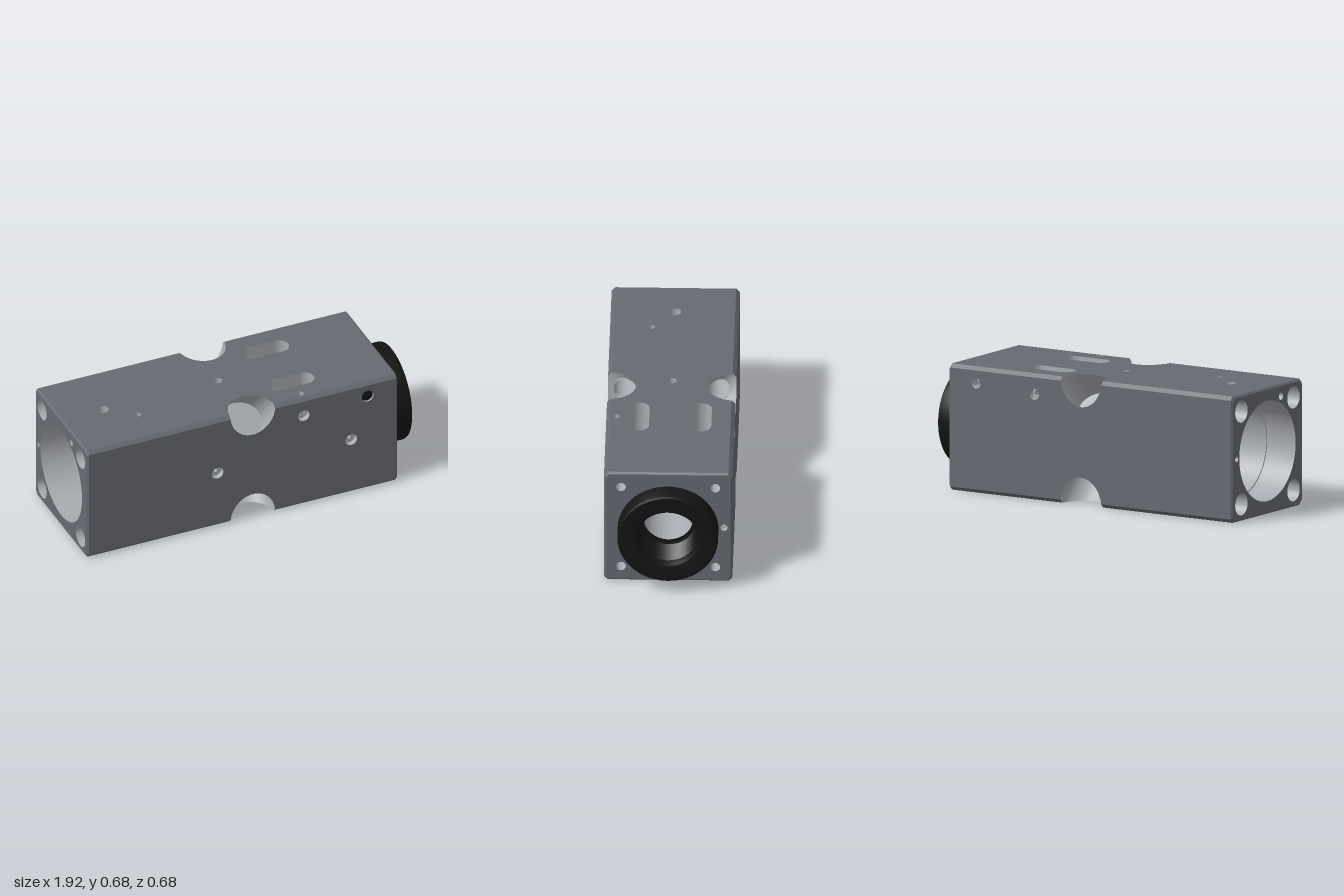
import * as THREE from 'three';
import { toCreasedNormals } from 'three/addons/utils/BufferGeometryUtils.js';

const H = 0.34, C = 0.02, E = 0.01;            // half width, long chamfer, end bevel
const X0 = -0.92, X1 = 0.88;                   // block ends
const NX = 0.04, NA = 0.13, NB = 0.106, ND = 0.264; // corner pocket: centre, radii, depth
const HOLE_R = 0.06, HOLE_W = 0.128;           // bolt channel where it meets the pocket

const mat = (color) => new THREE.MeshStandardMaterial({
  color, roughness: 0.6, metalness: 0, side: THREE.DoubleSide,
});

export function createModel() {
  const bodyMat = mat(0x676a72), boreMat = mat(0xa9acb2), blackMat = mat(0x141414);
  const model = new THREE.Group();
  model.name = 'cameraHousing';
  model.position.y = 0;
  const body = new THREE.Group();
  body.name = 'body';
  body.position.y = 0.395;
  model.add(body);

  const add = (parent, name, geo, material) => {
    const m = new THREE.Mesh(geo, material);
    m.name = name;
    parent.add(m);
    return m;
  };

  // ruled surface between two point rows of equal length
  const strip = (a, b, flat = false) => {
    const g = new THREE.BufferGeometry(), idx = [], n = a.length;
    g.setAttribute('position', new THREE.Float32BufferAttribute([...a, ...b].flat(), 3));
    for (let i = 0; i < n - 1; i++) idx.push(i, i + 1, n + i, i + 1, n + i + 1, n + i);
    g.setIndex(idx);
    const out = flat ? g.toNonIndexed() : g;
    out.computeVertexNormals();
    return out;
  };

  const circle = (u, v, r) => new THREE.Path().absarc(u, v, r, 0, Math.PI * 2, true);

  // cylindrical hole sunk along -z from height z; optional narrower drilled core
  const drill = (parent, z, { u, v, r, depth, inner = 0, core = 0, open = false, plug = false }) => {
    const tube = (rad, len, top) => {
      const g = new THREE.CylinderGeometry(rad, rad, len, 32, 1, true);
      g.rotateX(Math.PI / 2);
      g.translate(u, v, top - len / 2);
      add(parent, 'holeWall', g, boreMat);
    };
    tube(r, depth, z);
    if (!open) {
      const floor = new THREE.RingGeometry(inner, r, 32);
      floor.translate(u, v, z - depth);
      add(parent, plug ? 'plug' : 'holeFloor', floor, plug ? blackMat : boreMat);
    }
    if (core) tube(inner, core, z - depth);
  };

  // slot outline and walls
  const SU = 0.335, SL = 0.082, SR = 0.053, SD = 0.24;
  const slotPath = (v) => {
    const p = new THREE.Path();
    p.absarc(SU + SL, v, SR, -Math.PI / 2, Math.PI / 2, false);
    p.absarc(SU - SL, v, SR, Math.PI / 2, Math.PI * 1.5, false);
    p.closePath();
    return p;
  };
  const slotWalls = (parent, v, crossHole) => {
    for (const s of [-1, 1]) {
      const side = new THREE.Shape([[-SL, 0], [SL, 0], [SL, -SD], [-SL, -SD]]
        .map(([x, y]) => new THREE.Vector2(SU + x, H + y)));
      if (crossHole) side.holes.push(circle(SU, 0.23, 0.018));
      const g = new THREE.ShapeGeometry(side, 24);
      g.rotateX(Math.PI / 2);
      g.translate(0, v + s * SR, 0);
      add(parent, 'slotSide', g, boreMat);
      const top = [], low = [];
      for (let i = 0; i <= 16; i++) {
        const a = -Math.PI / 2 + (Math.PI * i) / 16;
        const x = SU + s * (SL + SR * Math.cos(a)), y = v + SR * Math.sin(a);
        top.push([x, y, H]);
        low.push([x, y, H - SD]);
      }
      add(parent, 'slotEnd', strip(top, low), boreMat);
    }
  };

  // corner pocket sunk diagonally into a long edge (local z points outward)
  const pocket = (parent) => {
    const g = new THREE.Group();
    g.name = 'cornerPocket';
    g.position.set(NX, H, H);
    g.rotation.x = -Math.PI / 4;
    parent.add(g);
    const sVals = [-HOLE_R, HOLE_R];
    for (let i = 0; i <= 48; i++) sVals.push(NB * Math.sin(-Math.PI / 2 + (Math.PI * i) / 48));
    sVals.sort((a, b) => a - b);
    const row = (list, dir, wOf) => list.map((s) =>
      [dir * NA * Math.sqrt(Math.max(0, 1 - (s / NB) ** 2)), s, -wOf(s)]);
    const rim = (s) => Math.max(Math.abs(s), C / Math.SQRT2);
    const half = (s) => Math.sqrt(Math.max(0, HOLE_R ** 2 - s * s));
    add(g, 'pocketWall', strip(row(sVals, 1, rim), row(sVals, 1, () => ND)), boreMat);
    // this wall is split around the bolt channel
    add(g, 'pocketWall', strip(row(sVals, -1, rim), row(sVals, -1, (s) => HOLE_W - half(s))), boreMat);
    add(g, 'pocketWall', strip(row(sVals, -1, (s) => HOLE_W + half(s)), row(sVals, -1, () => ND)), boreMat);
    const floor = add(g, 'pocketFloor', new THREE.CircleGeometry(1, 48), boreMat);
    floor.scale.set(NA, NB, 1);
    floor.position.z = -ND;
  };

  // four long sides: front, top, back, bottom
  const sideHoles = [
    [{ u: -0.165, v: 0, r: 0.034, depth: 0.03, inner: 0.01, core: 0.05 },
     { u: 0.61, v: 0, r: 0.034, depth: 0.03, inner: 0.01, core: 0.05 },
     { u: 0.335, v: 0.23, r: 0.033, depth: 0.03, inner: 0.018, core: 0.62 },
     { u: 0.705, v: 0.253, r: 0.034, depth: 0.01, plug: true }],
    [{ u: -0.68, v: 0, r: 0.033, depth: 0.05 },
     { u: -0.53, v: -0.12, r: 0.018, depth: 0.05 },
     { u: -0.015, v: 0, r: 0.025, depth: 0.08 },
     { u: 0.335, v: -0.29, r: 0.02, depth: 2 * H, open: true }],
    [{ u: 0.335, v: -0.23, r: 0.03, depth: 0.03, inner: 0.018 },
     { u: 0.705, v: -0.253, r: 0.03, depth: 0.1 }],
    [{ u: -0.015, v: 0, r: 0.022, depth: 0.08 },
     { u: 0.335, v: 0.29, r: 0.02, depth: 0.01, open: true }],
  ];
  const names = ['frontSide', 'topSide', 'backSide', 'bottomSide'];
  const t0 = Math.asin(C / (Math.SQRT2 * NB));
  const xa = X0 + E, xb = X1 - E, hv = H - C;
  sideHoles.forEach((holes, k) => {
    const side = new THREE.Group();
    side.name = names[k];
    side.rotation.x = (-k * Math.PI) / 2;
    body.add(side);

    const pts = [];
    for (const s of [-1, 1]) {
      pts.push(new THREE.Vector2(s < 0 ? xa : xb, s * hv));
      for (let i = 0; i <= 40; i++) {
        const a = t0 + ((Math.PI - 2 * t0) * i) / 40;
        pts.push(new THREE.Vector2(NX + s * NA * Math.cos(a),
          s * (H - Math.SQRT2 * NB * Math.sin(a))));
      }
      pts.push(new THREE.Vector2(s < 0 ? xb : xa, s * hv));
    }
    // run each notch in the travel direction of its edge
    const n = pts.length / 2;
    const ordered = [0, n].flatMap((o) =>
      [pts[o], ...pts.slice(o + 1, o + n - 1), pts[o + n - 1]]);
    const shape = new THREE.Shape(ordered);
    holes.forEach((h) => shape.holes.push(circle(h.u, h.v, h.r)));
    if (k % 2) for (const v of [-0.165, 0.165]) {
      shape.holes.push(slotPath(v));
      slotWalls(side, v, k === 1);
    }
    const face = new THREE.ShapeGeometry(shape, 24);
    face.translate(0, 0, H);
    add(side, 'sidePlate', face, bodyMat);
    holes.forEach((h) => drill(side, H, h));

    // chamfered long edge, interrupted by the pocket
    const half = NA * Math.cos(t0);
    for (const [a, b] of [[xa, NX - half], [NX + half, xb]])
      add(side, 'edgeChamfer', strip([[a, hv, H], [b, hv, H]], [[a, H, hv], [b, H, hv]]), bodyMat);
    pocket(side);
  });

  // end plates with bevelled rims
  const octagon = (h) => [[h, h - C], [h - C, h], [C - h, h], [-h, h - C],
    [-h, C - h], [C - h, -h], [h - C, -h], [h, C - h]];
  const corners = (r, depth, open) => [-1, 1].flatMap((a) => [-1, 1].map((b) =>
    ({ u: a * 0.25, v: b * 0.25, r, depth, open })));
  const ends = [
    ['lensEnd', 1, X1, 0.2, [...corners(0.026, 0.15, false),
      { u: 0.295, v: 0, r: 0.02, depth: 0.03, inner: 0.011, core: 1.76 }]],
    ['openEnd', -1, -X0, 0.27, [...corners(HOLE_R, 0.84, true),
      { u: -0.295, v: 0, r: 0.015, depth: 0.02, inner: 0.011 },
      { u: 0.13, v: 0.275, r: 0.02, depth: 0.08 }]],
  ];
  for (const [name, dir, z, bore, holes] of ends) {
    const end = new THREE.Group();
    end.name = name;
    end.rotation.y = (dir * Math.PI) / 2;
    body.add(end);
    const shape = new THREE.Shape(octagon(H - E).map(([x, y]) => new THREE.Vector2(x, y)));
    shape.holes.push(circle(0, 0, bore));
    holes.forEach((h) => shape.holes.push(circle(h.u, h.v, h.r)));
    const plate = new THREE.ShapeGeometry(shape, 40);
    plate.translate(0, 0, z);
    add(end, 'endPlate', plate, bodyMat);
    holes.forEach((h) => drill(end, z, h));
    const loop = (h, d) => [...octagon(h), octagon(h)[0]].map(([x, y]) => [x, y, d]);
    add(end, 'endBevel', strip(loop(H, z - E), loop(H - E, z), true), bodyMat);
  }

  // turned parts along the x axis, profiles given as [radius, x]
  const turned = (name, profile, material) => {
    const g = new THREE.LatheGeometry(profile.map(([r, x]) => new THREE.Vector2(r, x)), 80);
    g.rotateZ(-Math.PI / 2);
    add(body, name, toCreasedNormals(g, 0.5), material);
  };
  turned('rearBore', [[0.27, X0], [0.27, -0.74], [0.262, -0.74], [0.262, -0.5], [0.2, -0.5],
    [0.2, 0.17], [0.13, 0.17], [0.13, 0.2]], boreMat);
  turned('frontBore', [[0.13, 0.47], [0.13, 0.8]], boreMat);

  // lens mount ring with threaded inside
  const thread = [];
  for (let i = 0; i < 6; i++) thread.push([0.158, 0.96 - i * 0.025], [0.146, 0.9475 - i * 0.025]);
  turned('mountRing', [[0.2, 0.87], [0.25, 0.87], [0.25, 0.89], [0.262, 0.89], [0.267, 0.896],
    [0.267, 0.989], [0.264, 0.996], [0.257, 1], [0.175, 1], [0.168, 0.997], [0.165, 0.99],
    ...thread, [0.146, 0.8], [0.13, 0.8]], blackMat);

  return model;
}
